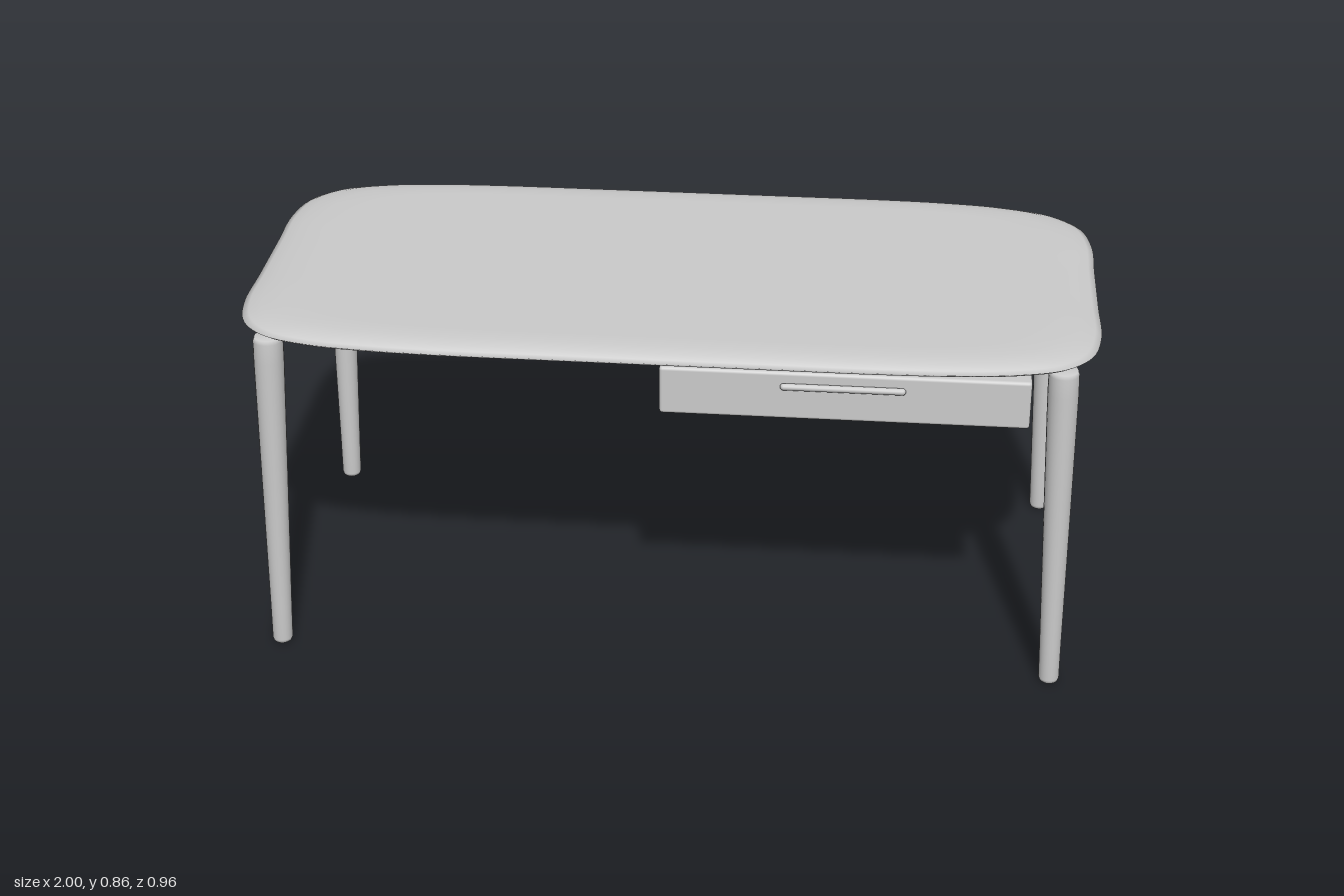
import * as THREE from 'three';
import { RoundedBoxGeometry } from 'three/addons/geometries/RoundedBoxGeometry.js';

const grey = new THREE.MeshStandardMaterial({ color: 0xcccccc });
grey.name = 'light grey';

function add(group, name, geometry, x = 0, y = 0, z = 0) {
  const mesh = new THREE.Mesh(geometry, grey);
  mesh.name = name;
  mesh.position.set(x, y, z);
  group.add(mesh);
  return mesh;
}

// Soft rectangular outline, mirrored from one corner
function outline(count) {
  const corner = [[1, 0.1], [1, 0.25], [0.975, 0.355], [0.915, 0.42], [0.81, 0.455], [0.68, 0.471], [0.52, 0.478], [0.2, 0.479]];
  const flip = (pts, sx, sz) => pts.map(([x, z]) => new THREE.Vector3(x * sx, 0, z * sz));
  const back = [...corner].reverse();
  const pts = [...flip(corner, 1, 1), ...flip(back, -1, 1), ...flip(corner, -1, -1), ...flip(back, 1, -1)];
  return new THREE.CatmullRomCurve3(pts, true, 'centripetal').getPoints(count).slice(0, count);
}

// Tabletop: the outline stacked as rings, with a thin bevelled edge
function topGeometry() {
  const n = 160;
  const rim = outline(n);
  // inset in x, inset in z, height
  const rings = [
    [0.999, 0.479, 0.81], [0.12, 0.075, 0.81], [0.06, 0.035, 0.815], [0.008, 0.006, 0.828], [0, 0, 0.834],
    [0.015, 0.008, 0.841], [0.045, 0.022, 0.849], [0.09, 0.05, 0.854], [0.16, 0.09, 0.856], [0.999, 0.479, 0.856],
  ];
  const pos = [], index = [];
  for (const [ix, iz, y] of rings)
    for (const p of rim) pos.push(p.x * (1 - ix), y, p.z * (1 - iz / 0.48));
  for (let r = 0; r < rings.length - 1; r++)
    for (let i = 0; i < n; i++) {
      const a = r * n + i, b = r * n + (i + 1) % n;
      index.push(a, a + n, b, b, a + n, b + n);
    }
  const geo = new THREE.BufferGeometry();
  geo.setAttribute('position', new THREE.Float32BufferAttribute(pos, 3));
  geo.setIndex(index);
  geo.computeVertexNormals();
  return geo;
}

// Tapered leg with a rounded foot, sheared so that it splays outward
function legGeometry(sx, sz) {
  const h = 0.82;
  const profile = [[0, 0], [0.017, 0], [0.022, 0.004], [0.0245, 0.012], [0.0255, 0.1], [0.031, 0.45], [0.0355, 0.76], [0.035, 0.81], [0.032, h], [0, h]];
  const geo = new THREE.LatheGeometry(profile.map(([r, y]) => new THREE.Vector2(r, y)), 24);
  const p = geo.attributes.position;
  for (let i = 0; i < p.count; i++) {
    const t = p.getY(i) / h;
    p.setX(i, p.getX(i) + sx * (0.93 - 0.019 * t));
    p.setZ(i, p.getZ(i) + sz * (0.413 - 0.024 * t) + 0.003);
  }
  return geo;
}

export function createModel() {
  const model = new THREE.Group();
  model.name = 'desk';
  add(model, 'tabletop', topGeometry());

  for (const sx of [-1, 1])
    for (const sz of [-1, 1])
      add(model, (sz > 0 ? 'front' : 'back') + (sx > 0 ? 'Left' : 'Right') + 'Leg', legGeometry(sx, sz));

  // Drawer hung under the left half, with a slim pull on its front
  add(model, 'drawer', new RoundedBoxGeometry(0.84, 0.118, 0.882, 3, 0.008), 0.42, 0.75, 0.004);
  const pull = add(model, 'drawerPull', new THREE.CapsuleGeometry(0.008, 0.268, 6, 12), 0.417, 0.776, 0.45);
  pull.rotation.z = Math.PI / 2;
  return model;
}
